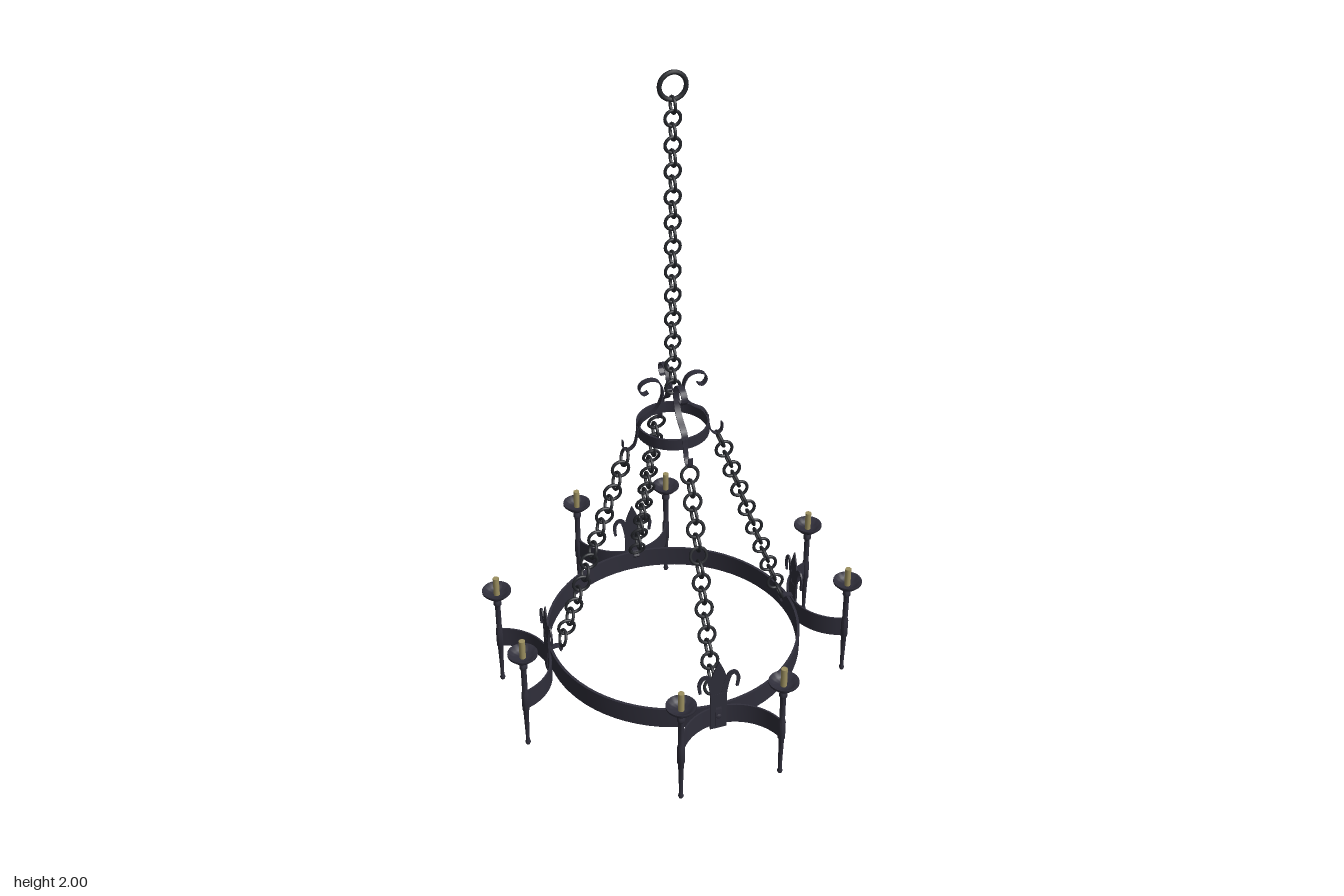
import * as THREE from 'three';
import { toCreasedNormals } from 'three/addons/utils/BufferGeometryUtils.js';

const V2 = (p) => new THREE.Vector2(p[0], p[1]);
const iron = new THREE.MeshStandardMaterial({ color: 0x2f2e3a });
iron.name = 'wrought iron';
const chainIron = new THREE.MeshStandardMaterial({ color: 0x25272c });
chainIron.name = 'chain iron';
const brass = new THREE.MeshStandardMaterial({ color: 0x9c9060 });
brass.name = 'candle tan';

function part(name, geometry, material, parent) {
  const mesh = new THREE.Mesh(geometry, material);
  mesh.name = name;
  parent.add(mesh);
  return mesh;
}

// Bar that follows a 2D spline, extruded by width and centred on z; taper narrows the end
function strip(points, thickness, width, steps = 28, taper = 1) {
  const curve = new THREE.SplineCurve(points.map(V2));
  const left = [], right = [];
  for (let i = 0; i <= steps; i++) {
    const t = i / steps;
    const p = curve.getPoint(t), d = curve.getTangent(t);
    const h = (thickness / 2) * (1 + (taper - 1) * t);
    left.push(new THREE.Vector2(p.x - d.y * h, p.y + d.x * h));
    right.unshift(new THREE.Vector2(p.x + d.y * h, p.y - d.x * h));
  }
  const g = new THREE.ExtrudeGeometry(new THREE.Shape([...left, ...right]), { depth: width, bevelEnabled: false });
  g.translate(0, 0, -width / 2);
  return toCreasedNormals(g, 0.7);
}

// Flat iron hoop
function hoop(r0, r1, y0, y1) {
  const profile = [[r1, y0], [r1, y1], [r0, y1], [r0, y0], [r1, y0]].map(V2);
  return toCreasedNormals(new THREE.LatheGeometry(profile, 72), 0.6);
}

// Chain link lying in the plane square to axis
function link(name, geometry, position, along, axis, parent) {
  const m = part(name, geometry, chainIron, parent);
  const x = new THREE.Vector3().crossVectors(along, axis);
  m.quaternion.setFromRotationMatrix(new THREE.Matrix4().makeBasis(x, along, axis));
  m.position.copy(position);
}

// Stem, drip pan and candle
function candleHolder() {
  const g = new THREE.Group();
  g.name = 'candleHolder';
  const stem = [[0, 0], [0.006, 0.003], [0.0085, 0.01], [0.006, 0.018], [0.0055, 0.03], [0.0085, 0.135],
    [0.011, 0.14], [0.011, 0.2], [0.0085, 0.21], [0.0085, 0.295], [0.012, 0.3], [0.012, 0.312],
    [0.0085, 0.318], [0.0085, 0.333]].map(V2);
  part('stem', toCreasedNormals(new THREE.LatheGeometry(stem, 14), 0.7), iron, g);
  const pan = [[0, 0.325], [0.016, 0.327], [0.03, 0.335], [0.044, 0.35], [0.044, 0.356],
    [0.041, 0.356], [0.029, 0.344], [0.014, 0.339], [0, 0.339]].map(V2);
  part('dripPan', toCreasedNormals(new THREE.LatheGeometry(pan, 28), 0.8), iron, g);
  part('candle', new THREE.CylinderGeometry(0.0095, 0.0095, 0.062, 10), brass, g).position.y = 0.369;
  return g;
}

// Leaf ornament riveted to the hoop
function leafOrnament() {
  const g = new THREE.Group();
  g.name = 'leafOrnament';
  part('backStrap', new THREE.BoxGeometry(0.05, 0.13, 0.006), iron, g).position.y = 0.195;
  const leaf = new THREE.Shape();
  leaf.moveTo(-0.016, 0.24);
  leaf.bezierCurveTo(-0.036, 0.29, -0.026, 0.325, 0, 0.38);
  leaf.bezierCurveTo(0.026, 0.325, 0.036, 0.29, 0.016, 0.24);
  const leafGeo = new THREE.ExtrudeGeometry(leaf, { depth: 0.004, bevelEnabled: false });
  part('centreLeaf', leafGeo, iron, g).position.z = -0.002;
  for (const s of [-1, 1]) {
    const pts = [[0.014, 0.22], [0.018, 0.27], [0.031, 0.32], [0.048, 0.329], [0.06, 0.308], [0.057, 0.274]];
    part('sideLeaf', strip(pts.map(([x, y]) => [s * x, y]), 0.02, 0.005, 24, 0.4), iron, g);
  }
  const rivet = part('rivet', new THREE.SphereGeometry(0.01, 12, 8), iron, g);
  rivet.position.set(0, 0.175, 0.002);
  rivet.scale.z = 0.6;
  return g;
}

// Everything that repeats on each of the four sides, built facing +z
function side() {
  const g = new THREE.Group();
  g.name = 'side';

  // Curved band carrying two candle holders
  const arc = [];
  for (let i = 0; i <= 16; i++) {
    const a = -1.26 + (2.52 * i) / 16;
    arc.push([0.158 * Math.sin(a), 0.555 - 0.158 * Math.cos(a)]);
  }
  const band = strip(arc, 0.005, 0.066, 36);
  band.rotateX(Math.PI / 2);
  part('armBand', band, iron, g).position.y = 0.173;
  for (const s of [-1, 1]) {
    const c = candleHolder();
    c.position.set(s * 0.154, 0, 0.513);
    g.add(c);
  }
  const leaf = leafOrnament();
  leaf.position.z = 0.402;
  g.add(leaf);

  // Bars bent in the radial plane
  const radial = (name, pts, thickness, width) => {
    const geo = strip(pts, thickness, width, 40);
    geo.rotateY(-Math.PI / 2);
    part(name, geo, iron, g);
  };
  radial('crownScroll', [[0.104, 0.947], [0.095, 0.97], [0.055, 0.997], [0.035, 1.03], [0.032, 1.065], [0.045, 1.092],
    [0.07, 1.1], [0.094, 1.091], [0.1, 1.072], [0.088, 1.057], [0.074, 1.062]], 0.0035, 0.018);
  radial('upperHook', [[0.106, 0.951], [0.109, 0.922], [0.117, 0.894], [0.133, 0.882], [0.149, 0.89], [0.151, 0.915]], 0.0035, 0.014);
  radial('lowerHook', [[0.405, 0.14], [0.404, 0.205], [0.392, 0.217], [0.37, 0.221], [0.357, 0.212], [0.363, 0.203]], 0.004, 0.018);

  // Slanting chain with links turned alternately
  const start = new THREE.Vector3(0, 0.858, 0.146);
  const end = new THREE.Vector3(0, 0.245, 0.352);
  const along = start.clone().sub(end).normalize();
  const tangent = new THREE.Vector3(1, 0, 0);
  const outward = new THREE.Vector3().crossVectors(tangent, along);
  const geo = new THREE.TorusGeometry(0.0247, 0.0048, 8, 22);
  for (let i = 0; i < 17; i++) {
    const p = start.clone().lerp(end, i / 16);
    link('sideChainLink', geo, p, along, i % 2 ? tangent : outward, g);
  }
  return g;
}

export function createModel() {
  const model = new THREE.Group();
  model.name = 'chandelier';

  part('mainHoop', hoop(0.384, 0.392, 0.14, 0.206), iron, model);
  part('crownHoop', hoop(0.099, 0.105, 0.918, 0.952), iron, model);
  for (let k = 0; k < 4; k++) {
    const s = side();
    s.rotation.y = (k * Math.PI) / 2;
    model.add(s);
  }

  // Cross rods joining the crown scrolls
  for (const k of [0, 1]) {
    const rod = part('crossRod', new THREE.CylinderGeometry(0.003, 0.003, 0.066, 8), iron, model);
    rod.rotation.set(k ? Math.PI / 2 : 0, 0, k ? 0 : Math.PI / 2);
    rod.position.y = 1.056;
  }

  // Hanging chain and ceiling ring
  const up = new THREE.Vector3(0, 1, 0);
  const axes = [new THREE.Vector3(1, 0, 0), new THREE.Vector3(0, 0, 1)];
  const geo = new THREE.TorusGeometry(0.0213, 0.0045, 8, 22);
  for (let i = 0; i < 24; i++) {
    link('mainChainLink', geo, new THREE.Vector3(0, 1.906 - i * 0.0366, 0), up, axes[i % 2], model);
  }
  part('ceilingRing', new THREE.TorusGeometry(0.0365, 0.0065, 10, 32), chainIron, model).position.y = 1.957;
  return model;
}
